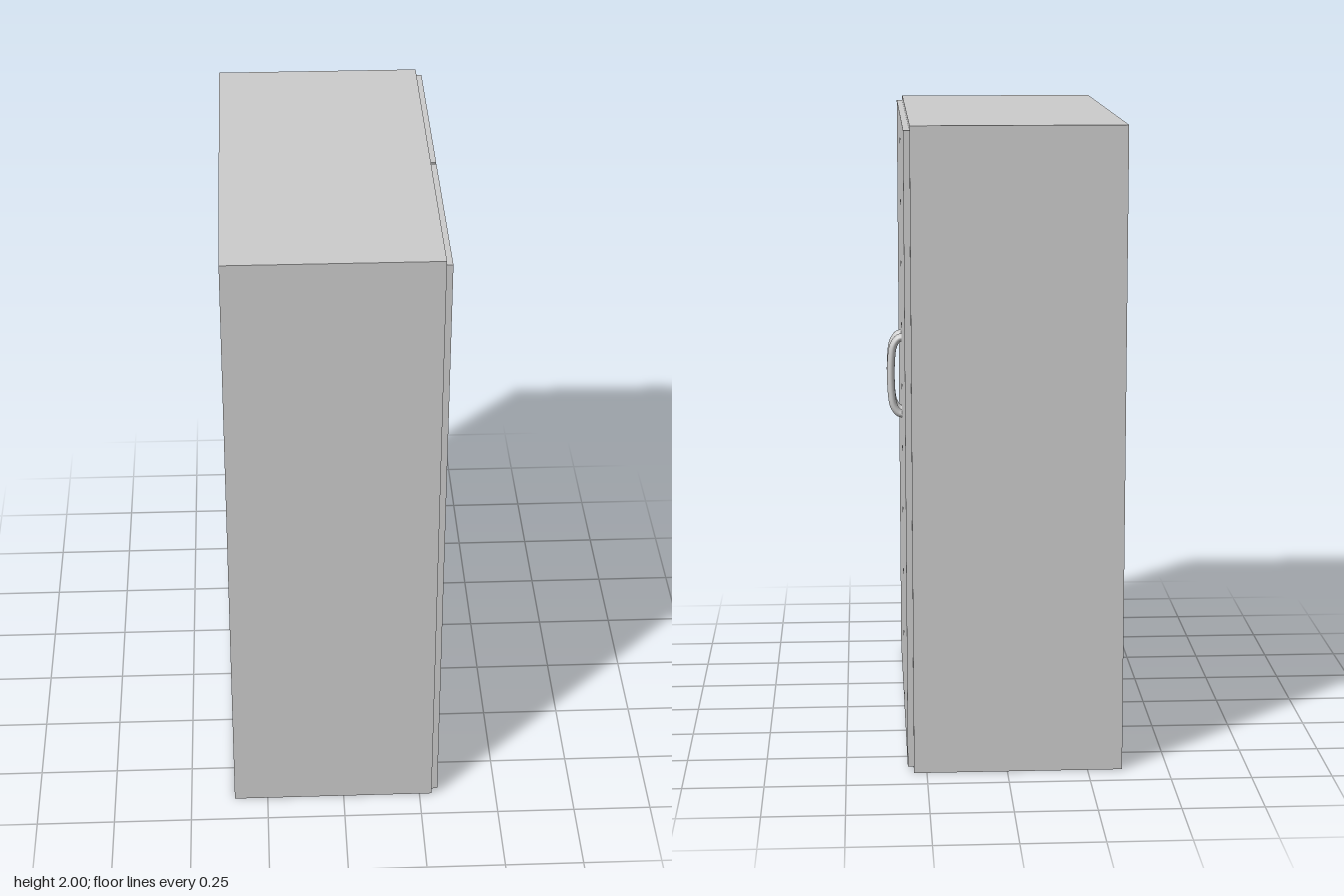
import * as THREE from 'three';

const material = new THREE.MeshStandardMaterial({ color: 0xcccccc });

// Box given by its min and max corners
function block(name, [x0, y0, z0], [x1, y1, z1]) {
  const geometry = new THREE.BoxGeometry(x1 - x0, y1 - y0, z1 - z0);
  const mesh = new THREE.Mesh(geometry, material);
  mesh.position.set((x0 + x1) / 2, (y0 + y1) / 2, (z0 + z1) / 2);
  mesh.name = name;
  return mesh;
}

// Bowed bar with a wide oval section, its ends sunk into the door
function handle(name, z) {
  const half = [[0.3, 0.127], [0.318, 0.124], [0.335, 0.102], [0.343, 0.055]];
  const points = [
    ...half.map(([x, y]) => new THREE.Vector3(x, -y, 0)),
    ...half.slice().reverse().map(([x, y]) => new THREE.Vector3(x, y, 0)),
  ];
  const curve = new THREE.CatmullRomCurve3(points, false, 'centripetal');
  const geometry = new THREE.TubeGeometry(curve, 48, 0.0125, 20, false);
  geometry.scale(1, 1, 1.7);
  const mesh = new THREE.Mesh(geometry, material);
  mesh.position.set(0, 1.14, z);
  mesh.name = name;
  return mesh;
}

export function createModel() {
  const model = new THREE.Group();
  model.name = 'wardrobe';

  // Cabinet body
  model.add(block('cabinet', [-0.358, 0, -0.653], [0.29, 2, 0.653]));

  // Two doors on the +x side with a narrow gap between them
  model.add(block('leftDoor', [0.29, 0.017, -0.641], [0.309, 1.985, 0]));
  model.add(block('rightDoor', [0.29, 0.017, 0.009], [0.309, 1.985, 0.648]));

  // Handles beside the gap
  model.add(handle('leftHandle', -0.037));
  model.add(handle('rightHandle', 0.046));

  return model;
}
